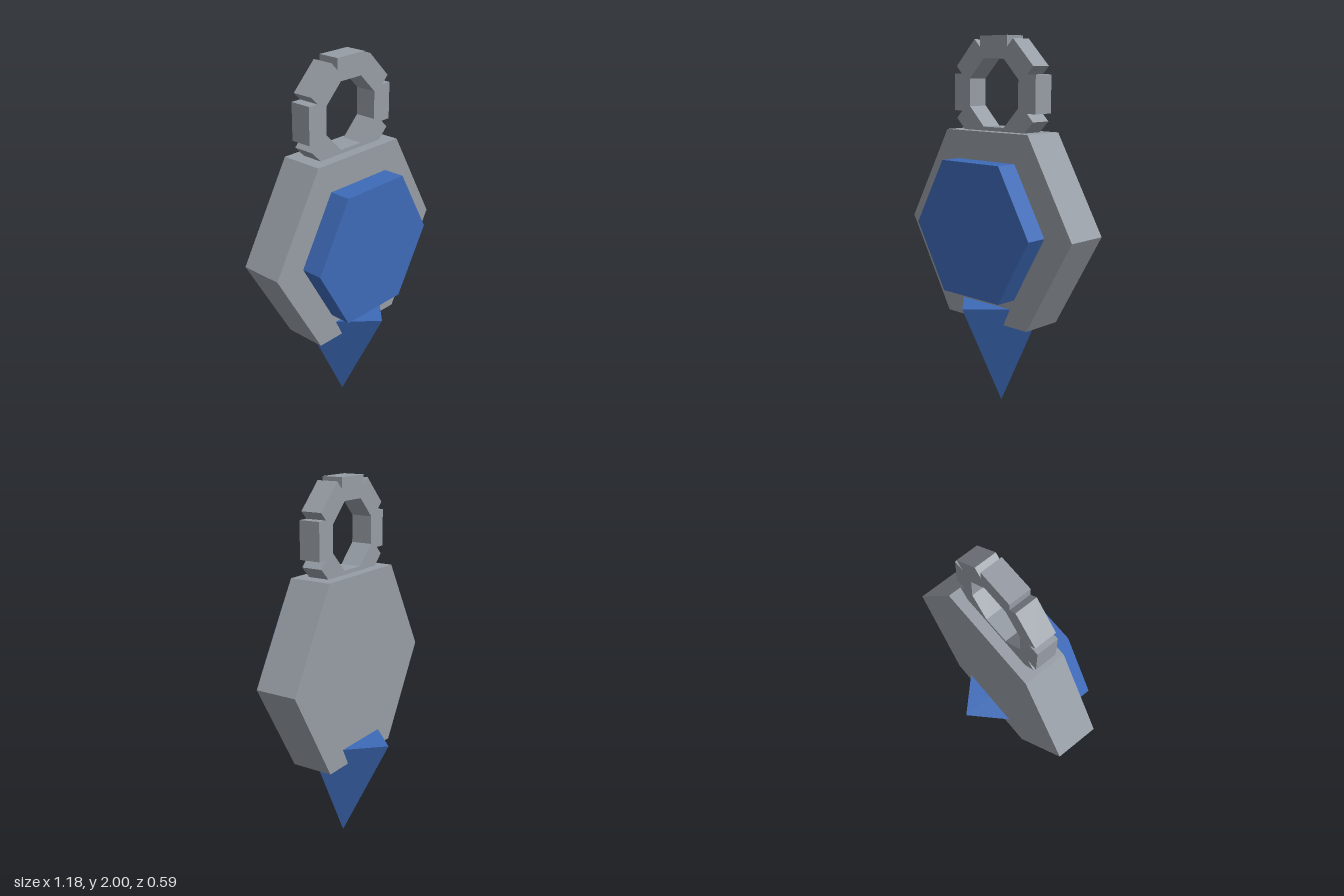
import * as THREE from 'three';

export function createModel() {
  const model = new THREE.Group();
  model.name = 'pendant';
  const steel = new THREE.MeshStandardMaterial({ color: 0x979da5, flatShading: true });
  const blue = new THREE.MeshStandardMaterial({ color: 0x3d6ab8, flatShading: true });

  const add = (parent, name, geometry, material, x, y, z) => {
    const mesh = new THREE.Mesh(geometry, material);
    mesh.name = name;
    mesh.position.set(x, y, z);
    parent.add(mesh);
    return mesh;
  };

  // Hexagonal plate facing +z, with corners on the x axis
  const hexPlate = (radius, depth) =>
    new THREE.CylinderGeometry(radius, radius, depth, 6, 1, false, Math.PI / 2).rotateX(Math.PI / 2);

  add(model, 'body', hexPlate(0.588, 0.235), steel, 0, 1, 0);

  // Gem runs through the body, stopping just short of its back face
  const gemBack = -0.116, gemFront = 0.236;
  add(model, 'gem', hexPlate(0.412, gemFront - gemBack), blue, 0, 1, (gemFront + gemBack) / 2);

  // Four-sided spike pointing down
  add(model, 'spike', new THREE.ConeGeometry(0.294, 0.588, 4).rotateX(Math.PI), blue, 0, 0.294, 0);

  // Hanging ring of eight blocks, the lowest sunk into the body
  const ring = new THREE.Group();
  ring.name = 'ring';
  ring.position.y = 1.706;
  model.add(ring);
  const block = new THREE.BoxGeometry(0.118, 0.196, 0.118);
  for (let i = 0; i < 8; i++) {
    const a = (i * Math.PI) / 4;
    add(ring, 'ringBlock', block, steel, Math.cos(a) * 0.235, Math.sin(a) * 0.235, 0).rotation.z = a;
  }

  return model;
}
